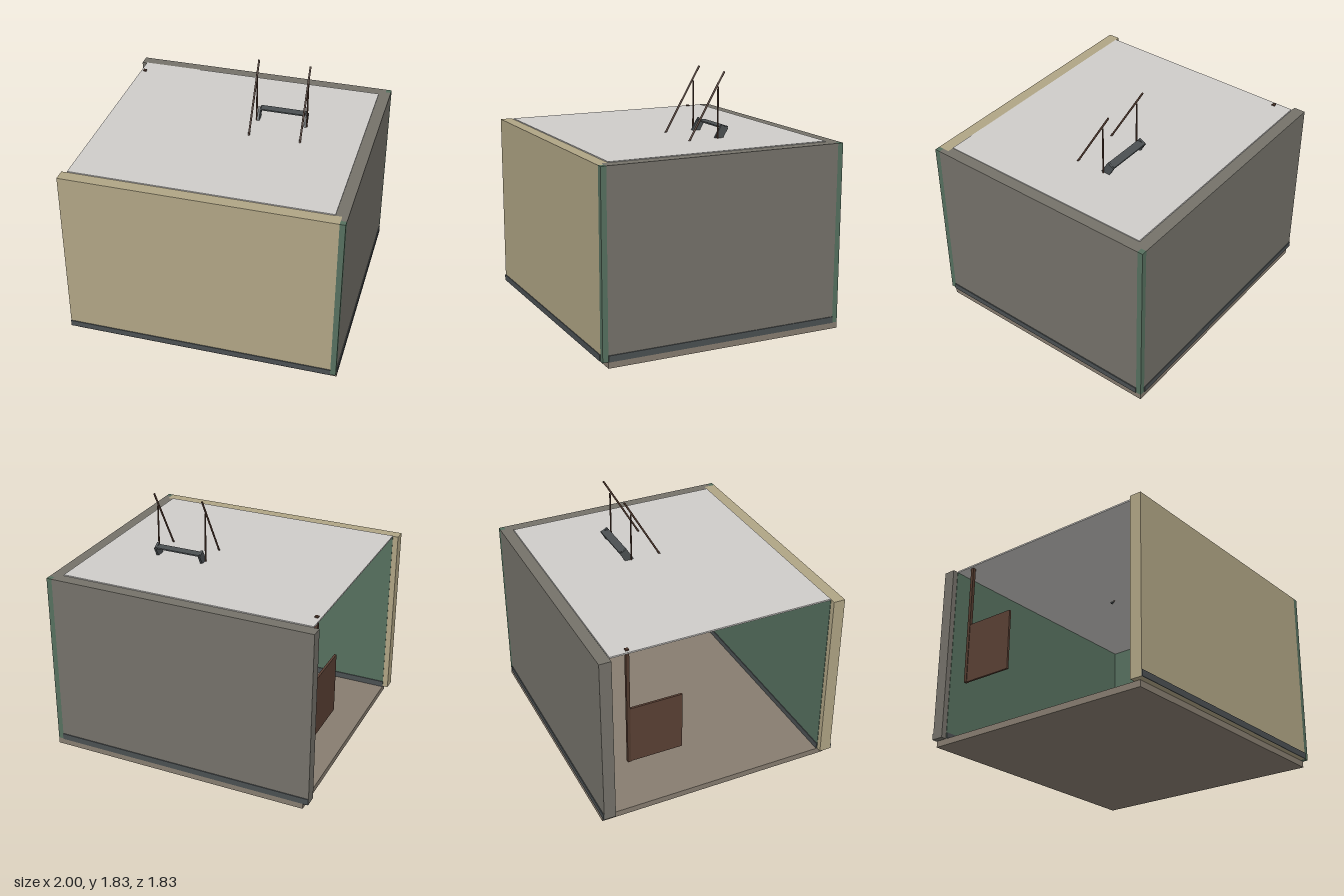
import * as THREE from 'three';

const mat = (color) => new THREE.MeshStandardMaterial({ color });
const M = {
  tan: mat(0xb0a585), grey: mat(0x75726a), green: mat(0x56705f), dark: mat(0x4b5052),
  floor: mat(0x877d70), roof: mat(0xcfcdca), brown: mat(0x5a4034), wood: mat(0x523a2e),
};

export function createModel() {
  const model = new THREE.Group();

  // Box given by its two extreme corners
  const box = (name, m, [x0, y0, z0], [x1, y1, z1], parent = model) => {
    const mesh = new THREE.Mesh(new THREE.BoxGeometry(x1 - x0, y1 - y0, z1 - z0), m);
    mesh.position.set((x0 + x1) / 2, (y0 + y1) / 2, (z0 + z1) / 2);
    mesh.name = name;
    parent.add(mesh);
    return mesh;
  };

  // Round rod between two points
  const rod = (name, m, a, b, r, parent = model) => {
    const p = new THREE.Vector3(...a), q = new THREE.Vector3(...b);
    const mesh = new THREE.Mesh(new THREE.CylinderGeometry(r, r, p.distanceTo(q), 10), m);
    mesh.position.copy(p).add(q).multiplyScalar(0.5);
    mesh.quaternion.setFromUnitVectors(new THREE.Vector3(0, 1, 0), q.sub(p).normalize());
    mesh.name = name;
    parent.add(mesh);
    return mesh;
  };

  // Floor slab and ceiling
  box('floor', M.floor, [-0.96, 0, -0.91], [0.99, 0.045, 0.87]);
  box('ceiling', M.roof, [-0.96, 1.345, -0.82], [0.905, 1.356, 0.82]);

  // Three walls; the -x side stays open
  const lo = 0.045, hi = 1.35;
  box('frontWall', M.tan, [-1, lo, 0.823], [0.95, hi, 0.91]);
  box('backWall', M.grey, [-1, lo, -0.91], [0.95, hi, -0.823]);
  box('sideWall', M.grey, [0.905, lo, -0.87], [0.99, hi, 0.87]);

  // Inner linings, skirtings and corner posts
  for (const s of [1, -1]) {
    const span = (a, b) => (s > 0 ? [a, b] : [-b, -a]);
    const strip = (name, m, x0, y0, x1, y1, a, b) => {
      const [z0, z1] = span(a, b);
      box(name, m, [x0, y0, z0], [x1, y1, z1]);
    };
    strip('wallLining', M.green, -0.96, lo, 0.905, 1.345, 0.82, 0.823);
    strip('outerSkirting', M.dark, -1, lo, 0.95, 0.09, 0.91, 0.916);
    strip('innerSkirting', M.dark, -0.96, lo, 0.9, 0.09, 0.814, 0.82);
    strip('cornerPost', M.green, 0.95, lo, 0.99, hi, 0.87, 0.91);
  }
  box('sideLining', M.green, [0.902, lo, -0.82], [0.905, 1.345, 0.82]);
  box('sideSkirting', M.dark, [0.99, lo, -0.87], [0.997, 0.09, 0.87]);
  box('sideInnerSkirting', M.dark, [0.896, lo, -0.814], [0.902, 0.09, 0.814]);

  // Hanging board with its post inside the open side
  const sign = new THREE.Group();
  sign.name = 'hangingBoard';
  box('boardPost', M.wood, [-0.942, 0.44, -0.7], [-0.918, 1.365, -0.676], sign);
  box('boardPanel', M.brown, [-0.938, 0.44, -0.676], [-0.922, 0.885, -0.29], sign);
  model.add(sign);

  // Rack on the roof: two leaning rods with props
  const rack = new THREE.Group();
  rack.name = 'roofRack';
  for (const x of [0.11, 0.485]) {
    rod('leaningRod', M.wood, [x, 1.34, 0.035], [x, 1.825, -0.245], 0.007, rack);
    rod('prop', M.wood, [x, 1.34, -0.197], [x, 1.72, -0.197], 0.006, rack);
  }
  // Tilted shelf held by two end plates
  const shelf = new THREE.Group();
  shelf.name = 'tiltedShelf';
  for (const x of [0.122, 0.473])
    box('endPlate', M.dark, [x - 0.008, -0.1, -0.03], [x + 0.008, 0.005, 0.03], shelf);
  box('shelfBoard', M.dark, [0.122, -0.008, -0.033], [0.473, 0.002, 0.033], shelf);
  shelf.position.set(0, 1.432, -0.255);
  shelf.rotation.x = -0.53;
  // Keep the board nearly level while the end plates lean
  shelf.children[2].rotation.x = 0.5;
  rack.add(shelf);
  model.add(rack);

  return model;
}
